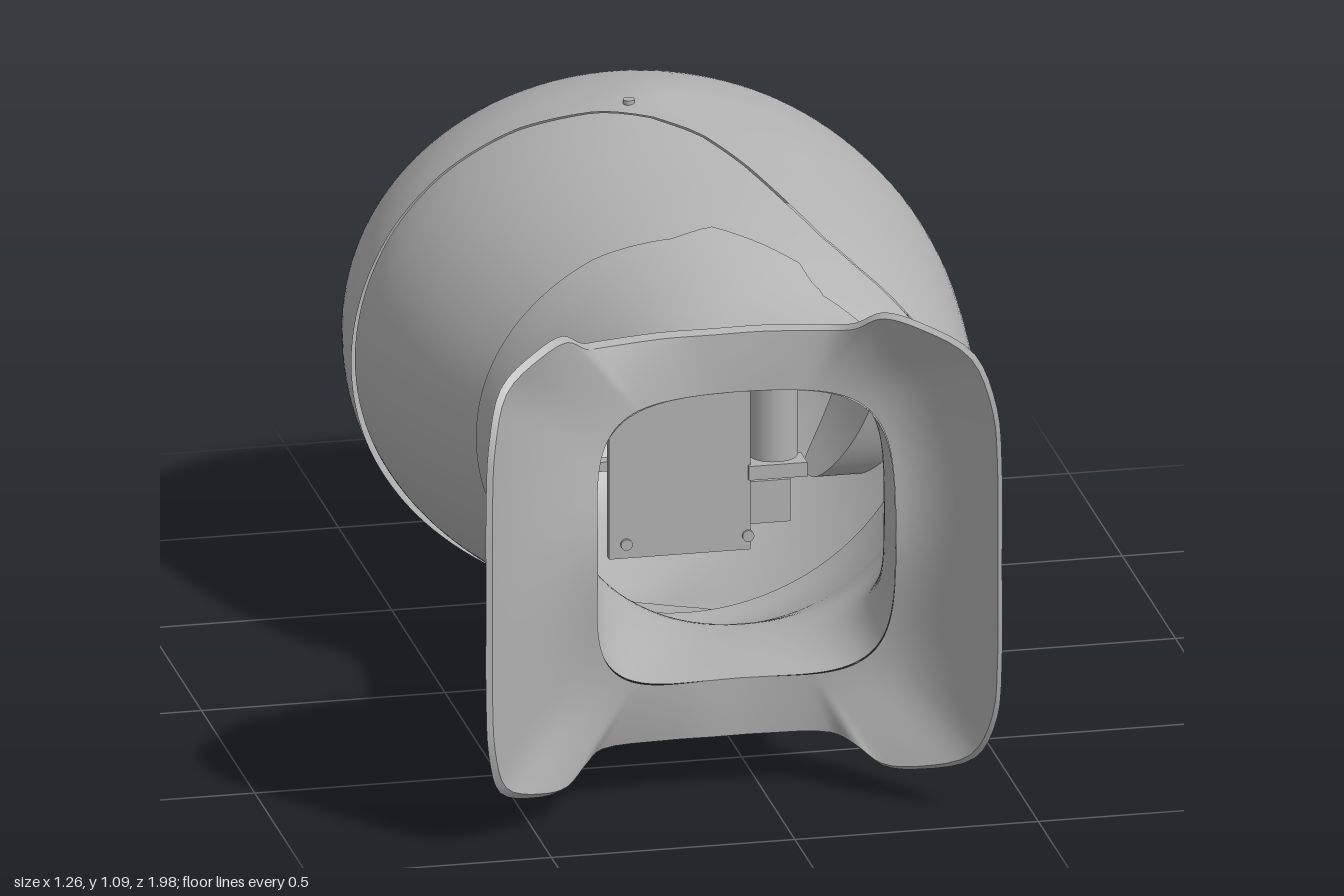
import * as THREE from 'three';

const CY = 0.545; // height of the long axis
const V = (x, y, z) => new THREE.Vector3(x, y, z);
const grey = new THREE.MeshStandardMaterial({ color: 0xb2b2b2, side: THREE.DoubleSide });
grey.name = 'grey plastic';

// Smooth grid surface; f(u, v) returns a point, v wraps round when closed
function grid(nu, nv, f, closed = true) {
  const pos = [], idx = [], w = closed ? nv : nv + 1;
  for (let i = 0; i <= nu; i++) for (let j = 0; j < w; j++) pos.push(...f(i / nu, j / nv).toArray());
  for (let i = 0; i < nu; i++) for (let j = 0; j < nv; j++) {
    const a = i * w + j, b = i * w + (j + 1) % w, c = a + w, d = b + w;
    idx.push(a, b, c, b, d, c);
  }
  const g = new THREE.BufferGeometry();
  g.setAttribute('position', new THREE.Float32BufferAttribute(pos, 3));
  g.setIndex(idx);
  g.computeVertexNormals();
  return g;
}

// Keeps the part of a surface where keep(point) > 0, with a clean edge
function clip(geo, keep) {
  const g = geo.toNonIndexed(), P = g.attributes.position, N = g.attributes.normal;
  const pos = [], nor = [];
  for (let i = 0; i < P.count; i += 3) {
    const c = [0, 1, 2].map(k => {
      const p = V().fromBufferAttribute(P, i + k);
      return { p, n: V().fromBufferAttribute(N, i + k), d: keep(p) };
    });
    const poly = [];
    c.forEach((a, k) => {
      const b = c[(k + 1) % 3];
      if (a.d > 0) poly.push(a);
      if ((a.d > 0) !== (b.d > 0)) {
        const t = a.d / (a.d - b.d);
        poly.push({ p: a.p.clone().lerp(b.p, t), n: a.n.clone().lerp(b.n, t) });
      }
    });
    for (let k = 1; k + 1 < poly.length; k++) for (const q of [poly[0], poly[k], poly[k + 1]]) {
      pos.push(...q.p.toArray()); nor.push(...q.n.toArray());
    }
  }
  const out = new THREE.BufferGeometry();
  out.setAttribute('position', new THREE.Float32BufferAttribute(pos, 3));
  out.setAttribute('normal', new THREE.Float32BufferAttribute(nor, 3));
  return out;
}

// Sections along z: [z, xMin, xMax, half height, roundness exponent]
function profile(rows) {
  const curve = f => new THREE.CatmullRomCurve3(rows.map(f), false, 'catmullrom', 0.5);
  const A = curve(r => V(r[0], r[1], r[2])), B = curve(r => V(r[3], r[4] ?? 2, 0));
  return t => {
    const a = A.getPoint(t), b = B.getPoint(t);
    return { z: a.x, cx: (a.y + a.z) / 2, rx: (a.z - a.y) / 2, ry: b.x, n: b.y };
  };
}
const pw = (v, e) => Math.sign(v) * Math.abs(v) ** e;
function ringPoint(s, v, inset = 0) {
  const a = v * Math.PI * 2, e = 2 / s.n;
  return V(s.cx + Math.max(0, s.rx - inset) * pw(Math.cos(a), e),
    CY + Math.max(0, s.ry - inset) * pw(Math.sin(a), e), s.z);
}
// Piecewise line through [x, z] points
function polyline(pts) {
  return x => {
    if (x <= pts[0][0]) return pts[0][1];
    for (let i = 1; i < pts.length; i++) if (x <= pts[i][0]) {
      const [x0, z0] = pts[i - 1], [x1, z1] = pts[i];
      return z0 + (z1 - z0) * (x - x0) / (x1 - x0);
    }
    return pts[pts.length - 1][1];
  };
}

const head = profile([
  [-1, -0.02, -0.02, 0], [-0.985, -0.19, 0.17, 0.17], [-0.94, -0.33, 0.31, 0.28], [-0.86, -0.46, 0.43, 0.385],
  [-0.75, -0.54, 0.525, 0.473], [-0.6, -0.58, 0.59, 0.525], [-0.45, -0.59, 0.622, 0.534],
  [-0.3, -0.565, 0.625, 0.522], [-0.15, -0.52, 0.612, 0.497], [0, -0.46, 0.592, 0.467],
  [0.12, -0.41, 0.57, 0.432], [0.24, -0.37, 0.54, 0.387], [0.32, -0.35, 0.5, 0.352], [0.4, -0.33, 0.42, 0.315]]);
const neckAt = profile([
  [-0.1, -0.46, 0.5, 0.45], [0, -0.425, 0.49, 0.445], [0.1, -0.37, 0.48, 0.412], [0.2, -0.335, 0.455, 0.373],
  [0.3, -0.317, 0.415, 0.337, 2.2], [0.4, -0.315, 0.36, 0.318, 2.6], [0.5, -0.322, 0.305, 0.309, 3],
  [0.6, -0.337, 0.27, 0.305, 3.5], [0.7, -0.355, 0.258, 0.305, 4], [0.8, -0.36, 0.255, 0.305, 4.5]]);

const seam = polyline([[-0.59, -0.465], [-0.5, -0.475], [-0.4, -0.472], [-0.25, -0.45], [-0.1, -0.395], [0, -0.33],
  [0.08, -0.25], [0.14, -0.14], [0.2, 0.01], [0.25, 0.11], [0.31, 0.18], [0.4, 0.25], [0.5, 0.31]]);
const hem = polyline([[-0.43, 0.02], [-0.2, 0.045], [-0.05, 0.085], [0.03, 0.075], [0.12, 0.14],
  [0.195, 0.2], [0.205, 0.27], [0.3, 0.33], [0.42, 0.385]]);

// Visor slot outline, bulging forward at the middle
const SL = 0.345, bulge = d => 0.03 * Math.max(0, 1 - (d / SL) ** 2);
const slotValue = p => {
  const d = p.y - CY, b = bulge(d);
  return p.x < 0.2 ? 1 : Math.abs((p.z + 0.56 - b) / (0.065 + b)) ** 3 + Math.abs(d / SL) ** 6 - 1;
};
function slotPoint(v, k = 1) {
  const a = v * Math.PI * 2, d = SL * pw(Math.sin(a), 1 / 3) * k, b = bulge(d);
  return { d, z: -0.56 + b + (0.065 + b) * pw(Math.cos(a), 2 / 3) * k };
}
function faceX(d, z) {
  let lo = 0, hi = 1;
  for (let i = 0; i < 24; i++) { const m = (lo + hi) / 2; if (head(m).z < z) lo = m; else hi = m; }
  const s = head(lo);
  return s.cx + s.rx * Math.sqrt(Math.max(0, 1 - (d / s.ry) ** 2));
}

export function createModel() {
  const model = new THREE.Group();
  const add = (name, geo, x = 0, y = 0, z = 0) => {
    const m = new THREE.Mesh(geo, grey);
    m.name = name; m.position.set(x, y, z); model.add(m);
    return m;
  };

  // Head shells, with a shallow raised pad at each ear
  const headGrid = inset => grid(110, 140, (u, v) => {
    const p = ringPoint(head(u), v, inset);
    const pad = 0.012 * Math.exp(-(((p.x - 0.01) / 0.11) ** 2) - ((p.z + 0.46) / 0.09) ** 2);
    p.y += Math.sign(p.y - CY) * pad;
    return p;
  });
  add('frontShell', clip(clip(headGrid(0), p => seam(p.x) - p.z), slotValue));
  add('backShell', clip(clip(headGrid(0.012), p => p.z - seam(p.x) + 0.02), p => hem(p.x) - p.z));

  // Visor recess: wall and floor
  add('visorWall', grid(2, 120, (u, v) => {
    const { d, z } = slotPoint(v), x = faceX(d, z);
    return V(x * (1 - 0.2 * u), CY + d, z);
  }));
  add('visorFloor', grid(10, 120, (u, v) => {
    const { d, z } = slotPoint(v, u);
    return V(faceX(d, z) * 0.8, CY + d, z);
  }));
  const pane = new THREE.CapsuleGeometry(0.055, 0.42, 6, 20);
  pane.scale(0.3, 1, 1);
  add('visorPane', pane, 0.485, CY, -0.545);

  // Neck, ending in a saddle-shaped edge
  const holeZ = c => 0.695 + 0.085 * c * c;
  add('neck', clip(grid(50, 96, (u, v) => ringPoint(neckAt(u), v)), p => {
    const a = Math.atan2(p.y - CY, p.x + 0.05);
    return holeZ(Math.cos(a)) - p.z;
  }));

  // Flared collar: quarter of the rim [x fraction, half height, z], mirrored to a loop
  const q = [[1, 0, 1], [1, 0.2, 1], [0.985, 0.33, 0.99], [0.92, 0.43, 0.94], [0.75, 0.475, 0.86], [0.62, 0.483, 0.8],
    [0.53, 0.45, 0.76], [0.45, 0.435, 0.715], [0.2, 0.435, 0.69], [0, 0.435, 0.69]];
  const half = [...q, ...q.slice(0, -1).reverse().map(([a, b, c]) => [-a, b, c])];
  const loop = [...half, ...half.slice(1, -1).reverse().map(([a, b, c]) => [a, -b, c])];
  const rim = new THREE.CatmullRomCurve3(loop.map(([a, b, c]) => V(-0.1 + 0.53 * a, CY + b, c)), true, 'centripetal');
  const hole = p => {
    const a = Math.atan2(p.y - CY, p.x + 0.05), c = Math.cos(a), s = Math.sin(a);
    const r = (Math.abs(c / 0.306) ** 4.4 + Math.abs(s / 0.305) ** 4.4) ** (-1 / 4.4);
    return V(-0.05 + r * c, CY + r * s, holeZ(c));
  };
  const flare = (u, v, drop, reach) => {
    const r = rim.getPoint(v), h = hole(r), k = u * reach;
    const p = h.clone().lerp(r, k);
    p.z = h.z + (r.z - h.z) * (0.25 * k + 0.75 * k ** 2.2) - drop * Math.sin(Math.PI * Math.min(1, k) * 0.5);
    return p;
  };
  add('collarInside', grid(14, 144, (u, v) => flare(u, v, 0, 0.95)));
  add('collarOutside', grid(14, 144, (u, v) => flare(u, v, 0.02, 1)));
  add('collarRim', grid(1, 144, (u, v) => (u ? flare(1, v, 0.02, 1) : flare(1, v, 0, 0.95))));

  // Small round screws set into the shells
  const screw = (x, y, z, dir) => {
    const m = add('screw', new THREE.CylinderGeometry(0.012, 0.012, 0.012, 16), x, y, z);
    m.quaternion.setFromUnitVectors(V(0, 1, 0), dir.normalize());
  };
  screw(-0.02, CY, -0.998, V(0, 0, -1));
  for (let i = 0; i < 6; i++) {
    const a = Math.PI / 6 + i * Math.PI / 3, x = 0.225 * Math.cos(a), y = 0.225 * Math.sin(a);
    screw(x - 0.01, CY + y, -0.968, V(x * 1.8, y * 1.8, -1));
  }
  for (const s of [1, -1]) {
    screw(-0.035, CY + s * 0.537, -0.4, V(0, s, 0));
    screw(0.41, CY + s * 0.13, 0.365, V(1, s * 0.3, 0.7));
    screw(0.495, CY + s * 0.145, -0.57, V(1, 0, 0));
  }

  // Mechanism inside the neck
  add('mountPlate', new THREE.BoxGeometry(0.29, 0.57, 0.02), -0.02, CY, 0);
  add('plateBar', new THREE.BoxGeometry(0.19, 0.03, 0.03), -0.01, 0.735, 0.02);
  add('motorDrum', new THREE.CylinderGeometry(0.05, 0.05, 0.2, 24), 0.18, CY, -0.03);
  for (const s of [1, -1]) {
    add('rail', new THREE.BoxGeometry(0.2, 0.02, 0.03), -0.25, CY + s * 0.092, -0.02);
    add('motorBracket', new THREE.BoxGeometry(0.12, 0.03, 0.06), 0.18, CY + s * 0.12, -0.01);
    add('motorHousing', new THREE.BoxGeometry(0.1, 0.09, 0.06), 0.16, CY + s * 0.19, -0.03);
    for (const x of [-0.13, 0.12]) screw(x, CY + s * 0.255, 0.01, V(0, 0, 1));
  }
  return model;
}
